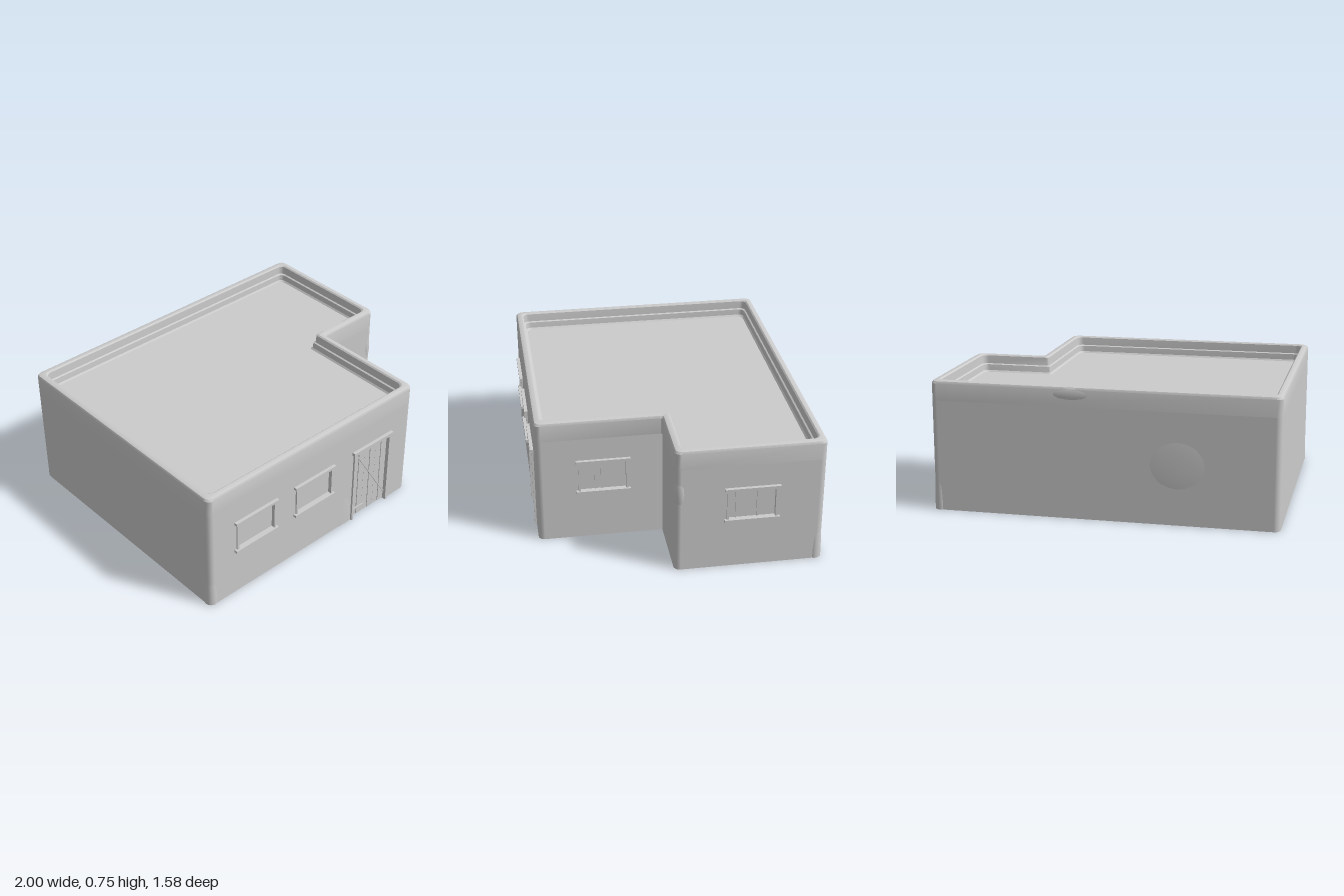
import * as THREE from 'three';
import { toCreasedNormals } from 'three/addons/utils/BufferGeometryUtils.js';

const mat = new THREE.MeshStandardMaterial({ color: 0xcccccc });
const WALL_H = 0.64, THICK = 0.045, R = 0.035;

function add(parent, name, geo, x = 0, y = 0, z = 0) {
  const m = new THREE.Mesh(geo, mat);
  m.name = name;
  m.position.set(x, y, z);
  parent.add(m);
  return m;
}
const box = (w, h, d) => new THREE.BoxGeometry(w, h, d);

// Rounded L-shaped footprint, moved inwards by o, counterclockwise from above
function outline(o) {
  const c = [[-1 + o, 0.77 - o], [0.56 - o, 0.77 - o], [0.56 - o, 0.05 - o],
    [0.98 - o, 0.05 - o], [0.98 - o, -0.79 + o], [-1 + o, -0.79 + o]]
    .map(([x, z]) => new THREE.Vector2(x, z));
  const pts = [], n = 5;
  c.forEach((p, i) => {
    const a = c[(i + 5) % 6].clone().sub(p).normalize();
    const b = c[(i + 1) % 6].clone().sub(p).normalize();
    const r = i === 2 ? 0.015 : R;
    for (let k = 0; k <= n; k++) {
      const t = (k / n) * Math.PI / 2;
      pts.push(p.clone().addScaledVector(a, r * (1 - Math.sin(t))).addScaledVector(b, r * (1 - Math.cos(t))));
    }
  });
  return pts;
}

// Sweep an [inset, height] profile round the footprint
function sweep(profile) {
  const pos = [], idx = [];
  const rings = profile.map(([o]) => outline(o));
  const n = rings[0].length;
  rings.forEach((ring, i) => ring.forEach((p) => pos.push(p.x, profile[i][1], p.y)));
  for (let i = 0; i < rings.length - 1; i++) {
    for (let j = 0; j < n; j++) {
      const k = (j + 1) % n, a = i * n + j, b = i * n + k, c = b + n, d = a + n;
      idx.push(a, b, c, a, c, d);
    }
  }
  const g = new THREE.BufferGeometry();
  g.setAttribute('position', new THREE.Float32BufferAttribute(pos, 3));
  g.setIndex(idx);
  return toCreasedNormals(g, 0.5);
}

// Wall panel with window holes and an optional doorway; outer face at z = 0
function panel(u0, u1, windows, door) {
  const s = new THREE.Shape();
  s.moveTo(u0, 0);
  if (door) {
    s.lineTo(door - 0.15, 0);
    s.lineTo(door - 0.15, 0.49);
    s.lineTo(door + 0.15, 0.49);
    s.lineTo(door + 0.15, 0);
  }
  s.lineTo(u1, 0);
  s.lineTo(u1, WALL_H);
  s.lineTo(u0, WALL_H);
  s.closePath();
  for (const { u } of windows) {
    const h = new THREE.Path();
    h.moveTo(u - 0.14, 0.31);
    h.lineTo(u - 0.14, 0.49);
    h.lineTo(u + 0.14, 0.49);
    h.lineTo(u + 0.14, 0.31);
    h.closePath();
    s.holes.push(h);
  }
  return new THREE.ExtrudeGeometry(s, { depth: THICK, bevelEnabled: false }).translate(0, 0, -THICK);
}

function makeWindow({ u, bars = [] }) {
  const g = new THREE.Group();
  g.name = 'window';
  g.position.set(u, 0.4, 0);
  add(g, 'pane', box(0.28, 0.18, 0.01), 0, 0, -0.018);
  add(g, 'lintel', box(0.31, 0.016, 0.04), 0, 0.098, 0);
  add(g, 'sill', box(0.31, 0.016, 0.04), 0, -0.098, 0);
  for (const s of [-1, 1]) add(g, 'jamb', box(0.012, 0.18, 0.034), s * 0.136, 0, -0.007);
  for (const b of bars) add(g, 'glazingBar', box(0.006, 0.18, 0.01), b, 0, -0.01);
  return g;
}

function makeDoor(u) {
  const g = new THREE.Group();
  g.name = 'door';
  g.position.set(u, 0, 0);
  add(g, 'lintel', box(0.32, 0.02, 0.04), 0, 0.497, 0);
  for (const s of [-1, 1]) add(g, 'jamb', box(0.014, 0.487, 0.04), s * 0.144, 0.2435, -0.008);
  add(g, 'backing', box(0.28, 0.485, 0.008), 0, 0.2425, -0.026);
  for (let i = 0; i < 6; i++) {
    add(g, 'plank', box(0.043, 0.475, 0.01), -0.115 + i * 0.046, 0.242, -0.018 + (i % 2) * 0.002);
  }
  const brace = add(g, 'brace', box(0.44, 0.008, 0.008), 0.02, 0.245, -0.009);
  brace.rotation.z = -Math.atan2(0.37, 0.23);
  add(g, 'rail', box(0.1, 0.008, 0.008), -0.085, 0.055, -0.009);
  return g;
}

export function createModel() {
  const house = new THREE.Group();
  house.name = 'house';

  // Walls: origin, turn, panel extent, openings
  const q = Math.PI / 2;
  const walls = [
    { name: 'frontWall', x: -1, z: 0.77, ry: 0, ext: [R, 1.56 - R], windows: [{ u: 0.335 }, { u: 0.775 }], door: 1.24 },
    { name: 'wingSideWall', x: 0.56, z: 0.77, ry: q, ext: [R, 0.72 + THICK], windows: [{ u: 0.38, bars: [-0.045, -0.01] }] },
    { name: 'recessedFrontWall', x: 0.56, z: 0.05, ry: 0, ext: [-THICK, 0.42 - R], windows: [] },
    { name: 'leftSideWall', x: 0.98, z: 0.05, ry: q, ext: [R, 0.84 - R], windows: [{ u: 0.43, bars: [-0.09, 0.03] }] },
    { name: 'backWall', x: 0.98, z: -0.79, ry: 2 * q, ext: [R, 1.98 - R], windows: [] },
    { name: 'rightSideWall', x: -1, z: -0.79, ry: -q, ext: [R, 1.56 - R], windows: [] },
  ];
  for (const w of walls) {
    const g = new THREE.Group();
    g.name = w.name;
    g.position.set(w.x, 0, w.z);
    g.rotation.y = w.ry;
    add(g, 'panel', panel(w.ext[0], w.ext[1], w.windows, w.door));
    w.windows.forEach((d) => g.add(makeWindow(d)));
    if (w.door) g.add(makeDoor(w.door));
    house.add(g);
  }

  // Rounded outer corners
  for (const [x, z] of [[-1 + R, 0.77 - R], [0.56 - R, 0.77 - R], [0.98 - R, 0.05 - R], [0.98 - R, -0.79 + R], [-1 + R, -0.79 + R]]) {
    add(house, 'corner', new THREE.CylinderGeometry(R, R, WALL_H, 20), x, WALL_H / 2, z);
  }

  // Parapet with rounded coping, stepping down to the roof
  add(house, 'parapet', sweep([[0, WALL_H], [0, 0.738], [0.006, 0.75], [0.018, 0.755], [0.035, 0.755],
    [0.043, 0.748], [0.046, 0.7], [0.055, 0.695], [0.058, 0.66], [0.066, 0.65]]));
  const roof = new THREE.Shape(outline(0.02).map((p) => new THREE.Vector2(p.x, -p.y)));
  add(house, 'roof', new THREE.ExtrudeGeometry(roof, { depth: 0.03, bevelEnabled: false }).rotateX(-q), 0, 0.62, 0);

  // Low bulges in the plaster: centre, then radii; those at ground level are half domes
  const patches = [
    [-0.43, 0.34, -0.78, 0.22, 0.19, 0.014],
    [0.17, 0.71, -0.778, 0.15, 0.043, 0.016],
    [0.04, 0, 0.762, 0.08, 0.28, 0.011],
    [0.945, 0.485, 0.015, 0.039, 0.14, 0.039],
    [0.945, 0, -0.755, 0.039, 0.37, 0.039],
    [-0.965, 0, 0.735, 0.038, 0.37, 0.038],
  ];
  for (const [x, y, z, rx, ry, rz] of patches) {
    const dome = new THREE.SphereGeometry(1, 24, 12, 0, Math.PI * 2, 0, y > 0 ? Math.PI : q);
    add(house, 'plasterPatch', dome, x, y, z).scale.set(rx, ry, rz);
  }
  return house;
}
